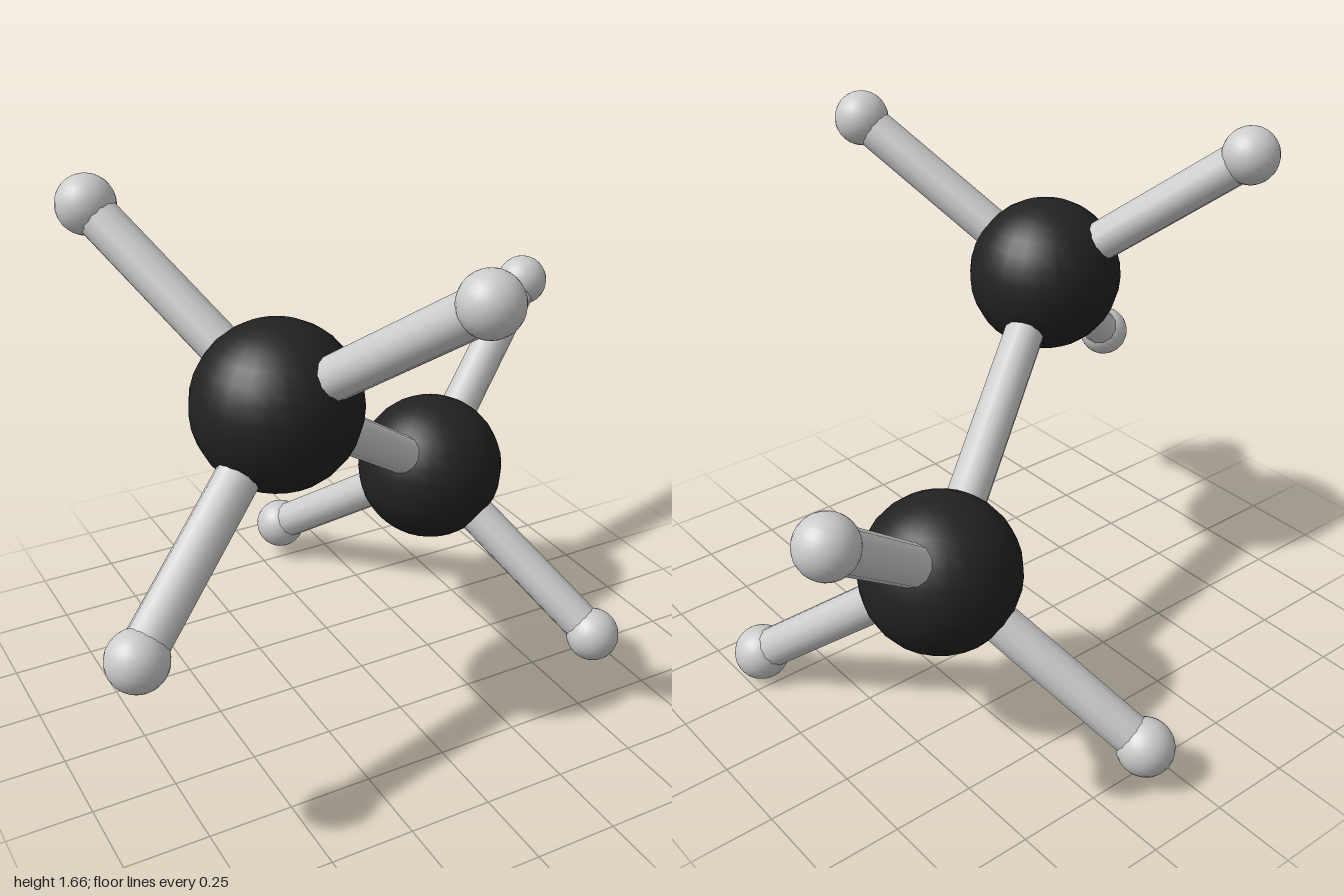
import * as THREE from 'three';

const grey = new THREE.MeshStandardMaterial({ color: 0xcccccc });
const dark = new THREE.MeshStandardMaterial({ color: 0x222222 });
const MID_Y = 0.8325;
const BOND_RADIUS = 0.062;

function atom(name, position, radius, material) {
  const mesh = new THREE.Mesh(new THREE.SphereGeometry(radius, 24, 16), material);
  mesh.name = name;
  mesh.position.copy(position);
  return mesh;
}

// Rod running between two atom centres
function bond(name, from, to) {
  const axis = to.clone().sub(from);
  const geometry = new THREE.CylinderGeometry(BOND_RADIUS, BOND_RADIUS, axis.length(), 12);
  const mesh = new THREE.Mesh(geometry, grey);
  mesh.name = name;
  mesh.position.copy(from).add(to).multiplyScalar(0.5);
  mesh.quaternion.setFromUnitVectors(new THREE.Vector3(0, 1, 0), axis.normalize());
  return mesh;
}

export function createModel() {
  const model = new THREE.Group();
  model.name = 'molecule';

  // Upper half, measured from the molecule's centre
  const carbon = new THREE.Vector3(-0.378, 0.285, 0.22);
  const hydrogens = [
    new THREE.Vector3(-0.69, 0.743, -0.31),
    new THREE.Vector3(-0.086, 0.708, 0.783),
    new THREE.Vector3(-0.915, -0.183, 0.505),
  ];

  // The lower half is the upper half inverted through the centre
  for (const sign of [1, -1]) {
    const place = (v) => v.clone().multiplyScalar(sign);
    const half = new THREE.Group();
    half.name = sign > 0 ? 'upperHalf' : 'lowerHalf';
    half.position.y = MID_Y;
    half.add(atom('carbon', place(carbon), 0.238, dark));
    hydrogens.forEach((h, i) => {
      half.add(atom(`hydrogen${i + 1}`, place(h), 0.085, grey));
      half.add(bond(`hydrogenBond${i + 1}`, place(carbon), place(h)));
    });
    model.add(half);
  }

  // Bond joining the two carbons
  const centralBond = bond('carbonBond', carbon, carbon.clone().negate());
  centralBond.position.y += MID_Y;
  model.add(centralBond);

  return model;
}
